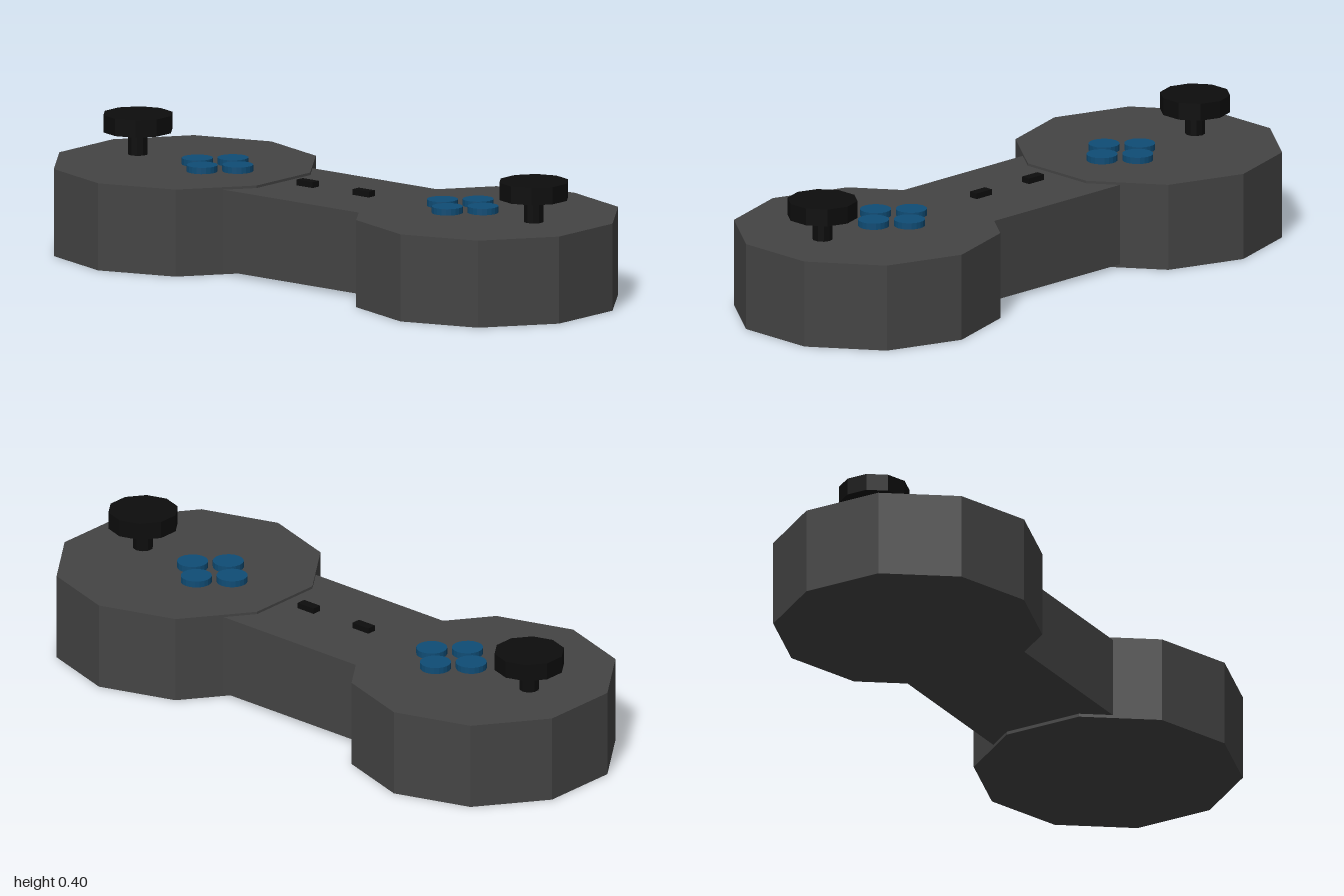
import * as THREE from 'three';

const bodyMat = new THREE.MeshStandardMaterial({ color: 0x444444, flatShading: true });
const blackMat = new THREE.MeshStandardMaterial({ color: 0x0d0d0d, flatShading: true });
const blueMat = new THREE.MeshStandardMaterial({ color: 0x0f4c75, flatShading: true });

const TOP = 0.273; // height of the grip pods

function add(parent, name, geometry, material, x, y, z) {
  const mesh = new THREE.Mesh(geometry, material);
  mesh.name = name;
  mesh.position.set(x, y, z);
  parent.add(mesh);
}

// Upright prism with a corner pointing along +x
function prism(radius, height, sides) {
  return new THREE.CylinderGeometry(radius, radius, height, sides, 1, false, Math.PI / 2);
}

// One end: ten-sided pod, thumbstick and a diamond of four buttons
function createGrip(name, side, stickX, stickZ, buttonZ) {
  const grip = new THREE.Group();
  grip.name = name;
  add(grip, 'pod', prism(0.415, TOP, 10), bodyMat, 0, TOP / 2, side * 0.605);

  add(grip, 'stickStem', prism(0.031, 0.1, 10), blackMat, stickX, 0.31, stickZ);
  add(grip, 'stickCap', prism(0.109, 0.054, 10), blackMat, stickX, 0.373, stickZ);

  for (const [dx, dz] of [[0.074, 0], [-0.074, 0], [0, 0.081], [0, -0.081]]) {
    add(grip, 'button', prism(0.048, 0.04, 20), blueMat, 0.006 + dx, 0.273, buttonZ + dz);
  }
  return grip;
}

export function createModel() {
  const model = new THREE.Group();
  model.name = 'gameController';

  model.add(createGrip('frontGrip', 1, -0.003, 0.794, 0.502));
  model.add(createGrip('backGrip', -1, 0.006, -0.798, -0.479));

  // Bridge joining the pods, slightly lower than their tops
  add(model, 'bridge', new THREE.BoxGeometry(0.426, 0.255, 0.9), bodyMat, 0, 0.1375, 0);

  // Two small menu buttons on the bridge
  for (const z of [0.114, -0.111]) {
    add(model, 'menuButton', new THREE.BoxGeometry(0.03, 0.04, 0.065), blackMat, -0.003, 0.263, z);
  }
  return model;
}
